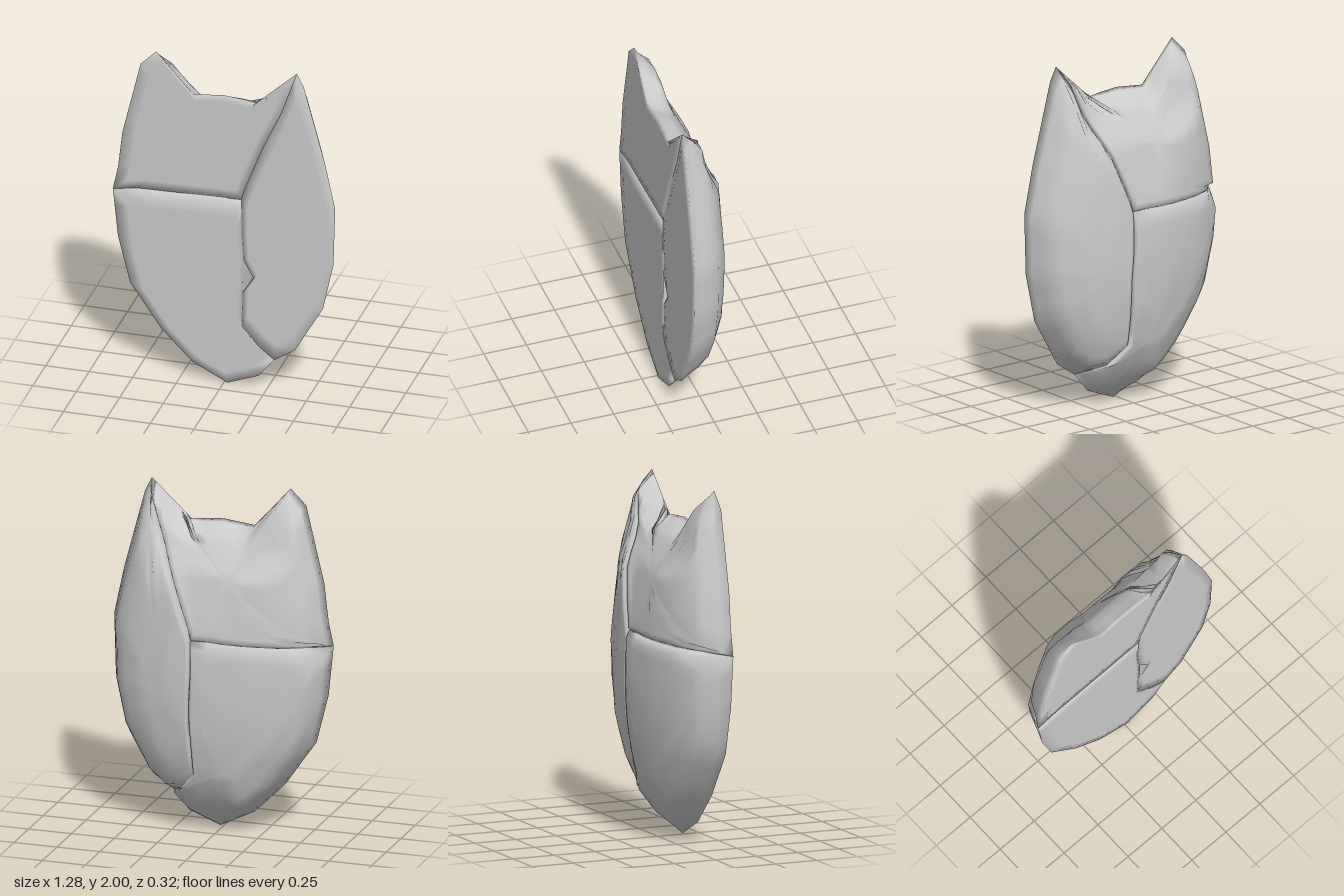
import * as THREE from 'three';
import { mergeVertices } from 'three/addons/utils/BufferGeometryUtils.js';

const FRONT = 0.16;

// Outer rim of each shard, counter-clockwise seen from the front
const faceRim = [[0.42, 1.98], [0.22, 1.76], [0.12, 1.775], [0, 1.785], [-0.18, 1.765], [-0.39, 2],
  [-0.48, 1.91], [-0.585, 1.47], [-0.61, 1.25], [-0.64, 1.11]];
const lowerRim = [[-0.64, 1.11], [-0.61, 0.82], [-0.54, 0.54], [-0.36, 0.28], [-0.18, 0.1],
  [0.02, 0], [0.2, 0.07], [0.29, 0.18]];
const rightRim = [[0.29, 0.18], [0.41, 0.26], [0.57, 0.54], [0.63, 0.82], [0.64, 1.17],
  [0.58, 1.45], [0.46, 1.9], [0.42, 1.98]];

// Cracks between the shards
const acrossCrack = [[-0.64, 1.11], [-0.5, 1.135], [-0.1, 1.145], [0.1, 1.15]];
const earCrack = [[0.1, 1.15], [0.12, 1.22], [0.22, 1.48], [0.33, 1.72], [0.42, 1.98]];
const lowCrack = [[0.29, 0.18], [0.2, 0.25], [0.1, 0.36], [0.105, 0.57], [0.11, 0.67], [0.11, 0.78],
  [0.1, 0.95], [0.1, 1.15]];
// The right shard is chipped on its front edge only (third value: x shift of the front)
const chippedCrack = lowCrack.map(([x, y]) => [x, y, y === 0.67 ? 0.06 : 0]);

const silhouette = [...faceRim.slice(1), ...lowerRim.slice(1), ...rightRim.slice(1)];

// Piecewise linear lookup
function lookup(table, v) {
  if (v <= table[0][0]) return table[0][1];
  for (let i = 1; i < table.length; i++) {
    const [a, p] = table[i - 1], [b, q] = table[i];
    if (v <= b) return p + (q - p) * (v - a) / (b - a);
  }
  return table[table.length - 1][1];
}

const domeProfile = [[0, -0.165], [0.38, -0.14], [0.7, -0.085], [0.91, 0], [1, FRONT]];
const sideProfile = [[0, FRONT], [0.07, 0.09], [0.2, -0.02], [0.35, -0.09], [0.6, -0.145], [0.8, -0.165],
  [1.1, -0.16], [1.35, -0.13], [1.5, -0.1], [1.68, 0.01], [1.94, 0.05], [2, FRONT]];

// Depth of the domed back: radial distance to the silhouette, limited by the side profile
function backZ(x, y) {
  const dx = x, dy = y - 0.9;
  let t = 0;
  silhouette.forEach(([ax, ay], i) => {
    const [bx, by] = silhouette[(i + 1) % silhouette.length];
    const ex = bx - ax, ey = by - ay;
    const det = dx * ey - dy * ex;
    if (Math.abs(det) < 1e-9) return;
    const k = (ax * ey - (ay - 0.9) * ex) / det;
    const u = (ax * dy - (ay - 0.9) * dx) / det;
    if (k > 0 && u >= -1e-6 && u <= 1 + 1e-6) t = Math.max(t, 1 / k);
  });
  return Math.max(lookup(domeProfile, t), lookup(sideProfile, y));
}

// Split long edges so the dome stays round
function subdivide(points) {
  const out = [];
  points.forEach(([x, y, c = 0], i) => {
    const [X, Y, C = 0] = points[(i + 1) % points.length];
    const n = Math.max(1, Math.round(Math.hypot(X - x, Y - y) / 0.1));
    for (let k = 0; k < n; k++) {
      const f = k / n;
      out.push([x + (X - x) * f, y + (Y - y) * f, c + (C - c) * f]);
    }
  });
  return out;
}

// One shard: flat front, side wall and domed back, as rings around an inner point
function shard(name, outline, cx, cy, lift) {
  const pts = subdivide(outline);
  const rings = [[0, 1], [0.5, 1], [0.85, 1], [1, 1],
    [1, 0], [0.95, 0], [0.88, 0], [0.78, 0], [0.62, 0], [0.42, 0], [0.2, 0], [0, 0]];
  const pos = [], index = [], n = pts.length;
  rings.forEach(([s, isFront], r) => {
    pts.forEach(([px, py, chip], i) => {
      const x = cx + (px + chip * isFront - cx) * s;
      const y = cy + (py - cy) * s;
      const round = s === 1 ? 0.02 : 0;
      pos.push(x, y, isFront ? FRONT : Math.min(FRONT, backZ(x, y) + lift + round));
      if (r === 0) return;
      const j = (i + 1) % n, a = (r - 1) * n, b = r * n;
      index.push(a + i, b + i, b + j, a + i, b + j, a + j);
    });
  });
  let geo = new THREE.BufferGeometry();
  geo.setAttribute('position', new THREE.Float32BufferAttribute(pos, 3));
  geo.setIndex(index);
  geo = mergeVertices(geo, 1e-4);
  geo.computeVertexNormals();
  const mesh = new THREE.Mesh(geo, new THREE.MeshStandardMaterial({ color: 0xcccccc }));
  mesh.name = name;
  return mesh;
}

const joined = (...paths) => paths.flatMap((p) => p.slice(0, -1));
const reversed = (path) => [...path].reverse();

export function createModel() {
  const group = new THREE.Group();
  group.name = 'brokenMask';
  group.add(
    shard('upperShard', joined(faceRim, acrossCrack, earCrack), -0.1, 1.5, 0.01),
    shard('lowerShard', joined(lowerRim, lowCrack, reversed(acrossCrack)), -0.06, 0.38, 0),
    shard('leftShard', joined(rightRim, reversed(earCrack), reversed(chippedCrack)), 0.33, 0.8, 0.005),
  );
  return group;
}
